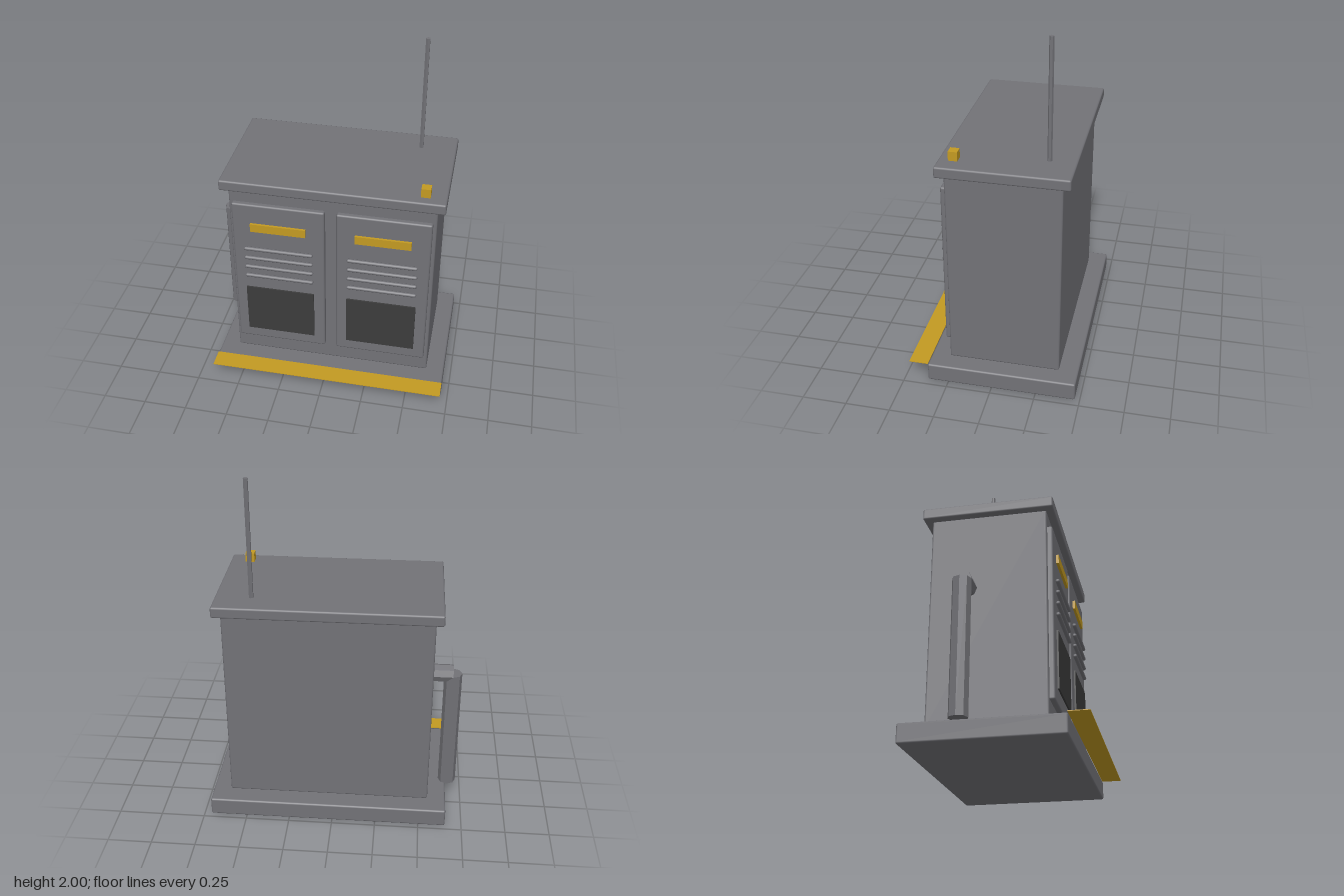
import * as THREE from 'three';
import { RoundedBoxGeometry } from 'three/addons/geometries/RoundedBoxGeometry.js';

export function createModel() {
  const model = new THREE.Group();
  model.name = 'utilityCabinet';

  const paint = (name, color) => {
    const m = new THREE.MeshStandardMaterial({ color });
    m.name = name;
    return m;
  };
  const grey = paint('cabinetGrey', 0x727277);
  const yellow = paint('safetyYellow', 0xc39a22);
  const dark = paint('ventDark', 0x3c3c3c);

  const add = (name, geometry, material, parent = model) => {
    const mesh = new THREE.Mesh(geometry, material);
    mesh.name = name;
    parent.add(mesh);
    return mesh;
  };

  // Box given by its limits on each axis, with an optional softened edge
  const box = (name, material, [x0, x1], [y0, y1], [z0, z1], bevel = 0, parent = model) => {
    const size = [x1 - x0, y1 - y0, z1 - z0];
    const geometry = bevel
      ? new RoundedBoxGeometry(...size, 1, bevel)
      : new THREE.BoxGeometry(...size);
    const mesh = add(name, geometry, material, parent);
    mesh.position.set((x0 + x1) / 2, (y0 + y1) / 2, (z0 + z1) / 2);
    return mesh;
  };

  // Faceted round bar between two points
  const bar = (name, radius, sides, from, to) => {
    const a = new THREE.Vector3(...from);
    const b = new THREE.Vector3(...to);
    const dir = b.clone().sub(a);
    const geometry = new THREE.CylinderGeometry(radius, radius, dir.length(), sides).toNonIndexed();
    geometry.computeVertexNormals();
    const mesh = add(name, geometry, grey);
    mesh.position.copy(a).add(b).multiplyScalar(0.5);
    mesh.quaternion.setFromUnitVectors(new THREE.Vector3(0, 1, 0), dir.normalize());
    return mesh;
  };

  // Plinth, cabinet body and overhanging roof
  box('base', grey, [-0.655, 0.71], [0, 0.105], [-0.473, 0.368], 0.01);
  box('body', grey, [-0.55, 0.607], [0.105, 1.268], [-0.365, 0.262], 0.01);
  box('roof', grey, [-0.592, 0.65], [1.265, 1.328], [-0.41, 0.303], 0.01);

  // Warning strip along the front edge of the plinth
  box('warningStrip', yellow, [-0.655, 0.71], [0.108, 0.112], [0.365, 0.474]);

  // Two doors, each with a handle plate, louvres and a dark vent
  [-0.268, 0.323].forEach((x, i) => {
    const door = new THREE.Group();
    door.name = i ? 'leftDoor' : 'rightDoor';
    door.position.x = x;
    model.add(door);
    box('doorPanel', grey, [-0.263, 0.263], [0.215, 1.18], [0.25, 0.29], 0.01, door);
    box('handlePlate', yellow, [-0.157, 0.157], [1.01, 1.06], [0.285, 0.304], 0, door);
    for (let k = 0; k < 4; k++) {
      const y = 0.888 - k * 0.0635;
      box('louvre', grey, [-0.2, 0.2], [y - 0.011, y + 0.011], [0.289, 0.313], 0.0105, door);
    }
    box('vent', dark, [-0.2, 0.2], [0.29, 0.605], [0.292, 0.301], 0, door);
  });

  // Conduit rising from the plinth and entering the side of the body
  bar('conduitRiser', 0.051, 8, [-0.665, 0.105, -0.16], [-0.665, 0.844, -0.16]);
  bar('conduitElbow', 0.051, 8, [-0.665, 0.844, -0.16], [-0.53, 0.844, -0.16]);

  // Roof fittings
  bar('antenna', 0.013, 6, [0.45, 1.32, -0.265], [0.45, 2, -0.265]);
  box('beacon', yellow, [0.508, 0.56], [1.325, 1.38], [0.197, 0.247]);

  return model;
}
